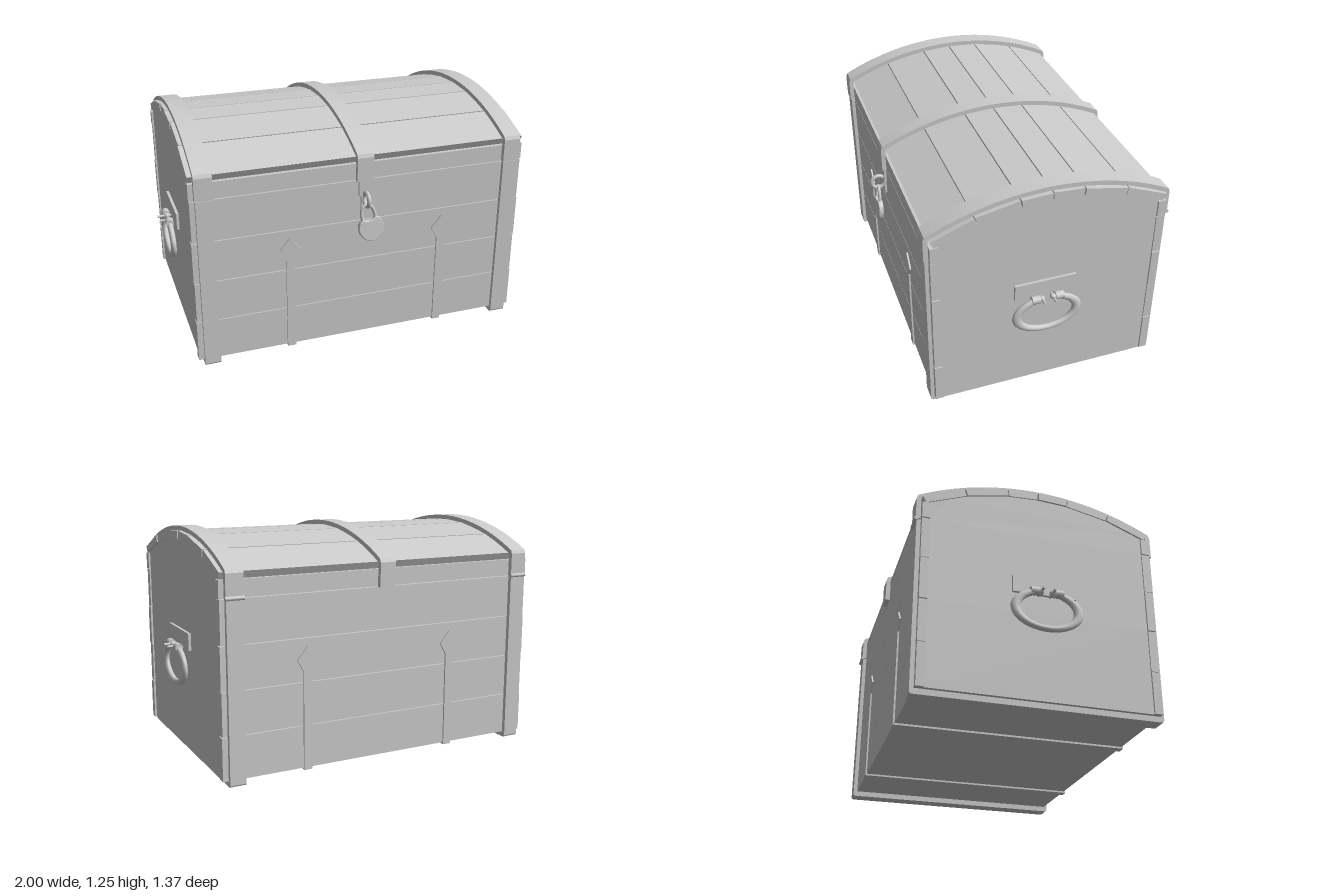
import * as THREE from 'three';

const grey = new THREE.MeshStandardMaterial({ color: 0xcccccc });
const ZC = -0.025;            // middle of the chest depth
const ARC_Y = -0.174;         // centre height of the lid arc
const SPLIT = 0.95;           // where lid meets body

function add(parent, name, geo, x = 0, y = 0, z = 0) {
  const m = new THREE.Mesh(geo, grey);
  m.name = name;
  m.position.set(x, y, z);
  parent.add(m);
  return m;
}

// box given by its min and max corners
function slab(parent, name, x0, x1, y0, y1, z0, z1) {
  return add(parent, name, new THREE.BoxGeometry(x1 - x0, y1 - y0, z1 - z0),
    (x0 + x1) / 2, (y0 + y1) / 2, (z0 + z1) / 2);
}

// extrude a side profile of [z, y] points from x0 to x1
function profile(points, x0, x1) {
  const shape = new THREE.Shape(points.map(([z, y]) => new THREE.Vector2(-z, y)));
  const geo = new THREE.ExtrudeGeometry(shape, { depth: x1 - x0, bevelEnabled: false });
  return geo.rotateY(Math.PI / 2).translate(x0, 0, 0);
}

const onArc = (z, r) => ARC_Y + Math.sqrt(r * r - (z - ZC) ** 2);

// arc from front to back at radius r between half-widths
function arc(r, half, n = 32) {
  return Array.from({ length: n + 1 }, (_, i) => {
    const z = ZC + half * (1 - (2 * i) / n);
    return [z, onArc(z, r)];
  });
}

// arched strip running over the lid and down to y0 on both faces
function lidBand(parent, name, x0, x1, y0, half, r) {
  const t = 0.025;
  const outer = arc(r, half - 0.008);
  const inner = arc(r - t, half - t).reverse();
  add(parent, name, profile([
    [ZC + half, y0], [ZC + half, 1.075], ...outer, [ZC - half, 1.075], [ZC - half, y0],
    [ZC - half + t, y0], ...inner, [ZC + half - t, y0],
  ], x0, x1));
}

// closed U strip around the body
function bodyBand(parent, x0, x1) {
  const h = 0.642, t = 0.025, c = 0.012;
  add(parent, 'bodyBand', profile([
    [ZC + h, SPLIT], [ZC + h, c], [ZC + h - c * 0.3, c * 0.3], [ZC + h - c, 0],
    [ZC - h + c, 0], [ZC - h + c * 0.3, c * 0.3], [ZC - h, c], [ZC - h, SPLIT],
    [ZC - h + t, SPLIT], [ZC - h + t, t + 0.005], [ZC + h - t, t + 0.005], [ZC + h - t, SPLIT],
  ], x0, x1));
}

function buildBody(chest) {
  // front and back planks
  const ys = [0.03, 0.26, 0.49, 0.72, SPLIT, 1.045];
  for (let i = 0; i < 5; i++) {
    const y1 = ys[i + 1] - 0.004, end = 0.921 - 0.003 * (i % 2);
    slab(chest, 'frontPlank', -end, end, ys[i], y1, 0.555, 0.597);
    slab(chest, 'backPlank', -end, end, ys[i], y1, -0.645, -0.603);
  }
  slab(chest, 'floor', -0.91, 0.91, 0.03, 0.07, -0.64, 0.59);
  // end boards, the top one arched
  for (const s of [-1, 1]) {
    const a = s > 0 ? 0.87 : -0.91, b = a + 0.04;
    slab(chest, 'endBoard', a, b, 0.03, 0.49, -0.605, 0.557);
    slab(chest, 'endBoard', a, b, 0.49, SPLIT, -0.605, 0.557);
    add(chest, 'lidEndBoard', profile(
      [[0.557, SPLIT], ...arc(1.358, 0.582), [-0.605, SPLIT]], a, b));
  }
}

function buildLid(chest) {
  // six flat staves following the arc
  const zs = [0.597, 0.372, 0.14, -0.025, -0.192, -0.425, -0.647];
  for (let i = 0; i < 6; i++) {
    const corner = (z, r) => {
      const a = Math.asin((z - ZC) / 1.397);
      return [ZC + r * Math.sin(a), ARC_Y + r * Math.cos(a)];
    };
    const z0 = zs[i] - 0.003, z1 = zs[i + 1] + 0.003;
    const end = 0.92 - 0.004 * (i % 2);
    add(chest, 'lidStave', profile(
      [corner(z0, 1.397), corner(z1, 1.397), corner(z1, 1.356), corner(z0, 1.356)], -end, end));
  }
}

// flat iron strap under the chest with pointed ends on front and back
function buildStrap(chest, x) {
  const w = 0.023, d = 0.058;
  const shape = new THREE.Shape([[-w, 0.02], [w, 0.02], [w, 0.545], [d, 0.605], [0, 0.675],
    [-d, 0.605], [-w, 0.545]].map(([a, b]) => new THREE.Vector2(a, b)));
  const geo = new THREE.ExtrudeGeometry(shape, { depth: 0.012, bevelEnabled: false });
  add(chest, 'frontStrap', geo, x, 0, 0.594);
  add(chest, 'backStrap', geo, x, 0, -0.654);
  slab(chest, 'bottomStrap', x - w, x + w, 0.02, 0.032, -0.654, 0.606);
}

// oval ring handle on the model's left end
function buildHandle() {
  const g = new THREE.Group();
  g.name = 'handle';
  const z = -0.005, x = 0.95;
  slab(g, 'handlePlate', 0.905, 0.925, 0.6, 0.693, z - 0.168, z + 0.168);
  const open = 0.47;
  const ring = new THREE.TorusGeometry(0.102, 0.016, 12, 48, Math.PI * 2 - 2 * open);
  ring.rotateZ(Math.PI / 2 + open).scale(1.62, 1, 1).rotateY(Math.PI / 2);
  add(g, 'handleRing', ring, x, 0.502, z);
  for (const s of [-1, 1]) {
    const rod = (name, r, len, dz) => add(g, name,
      new THREE.CylinderGeometry(r, r, len, 16).rotateX(Math.PI / 2), x, 0.602, z + s * dz);
    rod('handleSocket', 0.022, 0.045, 0.064);
    rod('handleNeck', 0.013, 0.012, 0.037);
    add(g, 'handlePin', new THREE.SphereGeometry(0.016, 14, 10), x, 0.602, z + s * 0.03);
    add(g, 'handlePost', new THREE.CylinderGeometry(0.007, 0.007, 0.1, 10).rotateZ(Math.PI / 2),
      x, 0.602, z + s * 0.03);
  }
  return g;
}

// hasp, staple and tilted padlock
function buildLock() {
  const g = new THREE.Group();
  g.name = 'lock';
  slab(g, 'hasp', -0.03, 0.03, 0.86, 0.95, 0.597, 0.61);
  slab(g, 'haspTongue', -0.018, 0.018, 0.78, 0.87, 0.595, 0.608);
  const staple = new THREE.TorusGeometry(0.037, 0.011, 10, 28);
  add(g, 'staple', staple.rotateY(Math.PI / 2), 0, 0.85, 0.64);

  const pad = new THREE.Group();
  pad.name = 'padlock';
  const body = new THREE.Shape();
  body.moveTo(-0.035, 0.05);
  body.quadraticCurveTo(0, 0.025, 0.035, 0.05);
  body.bezierCurveTo(0.085, 0.035, 0.075, -0.065, 0, -0.075);
  body.bezierCurveTo(-0.075, -0.065, -0.085, 0.035, -0.035, 0.05);
  const geo = new THREE.ExtrudeGeometry(body, {
    depth: 0.016, bevelThickness: 0.005, bevelSize: 0.004, bevelSegments: 2, curveSegments: 14,
  });
  add(pad, 'padlockBody', geo, 0, 0, -0.008);
  const path = new THREE.CatmullRomCurve3([[-0.034, 0.03], [-0.036, 0.08], [-0.022, 0.118],
    [0, 0.128], [0.022, 0.118], [0.036, 0.08], [0.034, 0.03]]
    .map(([a, b]) => new THREE.Vector3(a, b, 0)));
  add(pad, 'shackle', new THREE.TubeGeometry(path, 32, 0.009, 10), 0, 0, 0);
  pad.position.set(0.021, 0.695, 0.653);
  pad.rotation.set(-0.08, 0, 0.2);
  g.add(pad);
  return g;
}

export function createModel() {
  const chest = new THREE.Group();
  chest.name = 'chest';
  buildBody(chest);
  buildLid(chest);

  // iron bands
  for (const s of [-1, 1]) {
    const c = s * 0.848;
    bodyBand(chest, c - 0.043, c + 0.043);
    lidBand(chest, 'lidBand', c - 0.047, c + 0.047, SPLIT + 0.004, 0.647, 1.42);
    // hinge pin at the back of each band
    add(chest, 'hingePin', new THREE.CylinderGeometry(0.011, 0.011, 0.1, 14).rotateZ(Math.PI / 2),
      c, SPLIT + 0.003, -0.669);
  }
  lidBand(chest, 'middleBand', -0.045, 0.045, 0.945, 0.645, 1.42);

  for (const x of [-0.408, 0.455]) buildStrap(chest, x);

  // matching handles on both ends
  const left = buildHandle();
  const right = buildHandle();
  right.rotation.y = Math.PI;
  right.position.z = -0.01;
  chest.add(left, right, buildLock());
  return chest;
}
